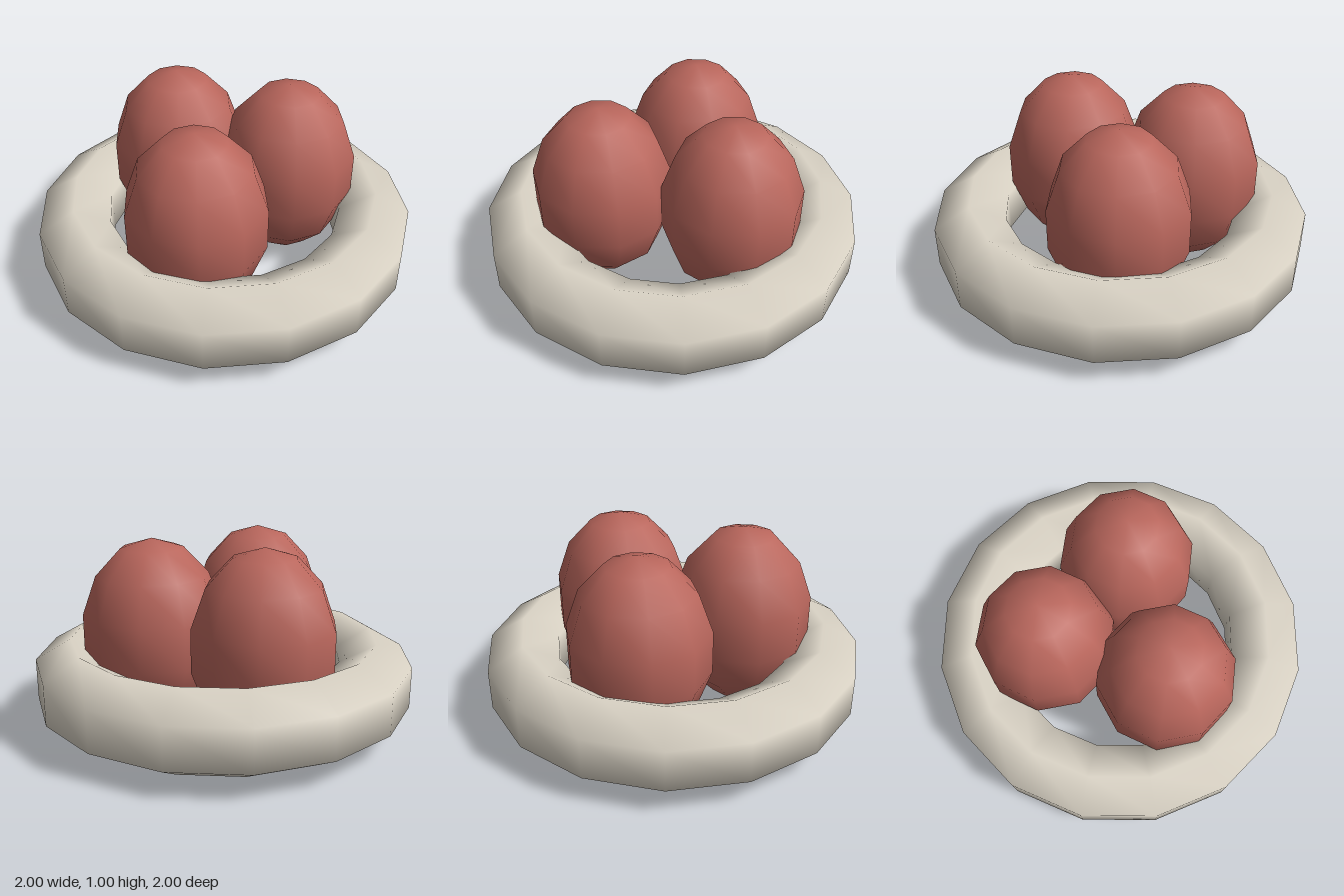
import * as THREE from 'three';

const RING_RADIUS = 0.814, TUBE = 0.215;

// Six-sided tube with points at top and bottom, swept round 16 sides, smooth shaded
function ringGeometry() {
  const profile = [];
  for (let i = 0; i <= 6; i++) {
    const a = -Math.PI / 2 + (i * Math.PI) / 3;
    profile.push(new THREE.Vector2(RING_RADIUS + TUBE * Math.cos(a), TUBE * Math.sin(a)));
  }
  const geo = new THREE.LatheGeometry(profile, 16);
  const pos = geo.attributes.position, nor = geo.attributes.normal;
  const p = new THREE.Vector3(), core = new THREE.Vector3();
  for (let i = 0; i < pos.count; i++) {
    p.fromBufferAttribute(pos, i);
    core.set(p.x, 0, p.z).setLength(RING_RADIUS);
    p.sub(core).normalize();
    nor.setXYZ(i, p.x, p.y, p.z);
  }
  return geo;
}

export function createModel() {
  const cream = new THREE.MeshStandardMaterial({ color: 0xdbd4c6 });
  cream.name = 'cream';
  const red = new THREE.MeshStandardMaterial({ color: 0xb9665c });
  red.name = 'dusty red';

  const model = new THREE.Group();
  model.name = 'nestWithEggs';

  const ring = new THREE.Mesh(ringGeometry(), cream);
  ring.name = 'nestRing';
  ring.position.y = 0.245;
  model.add(ring);

  // Three upright eggs, ten sides each, with corners pointing front and back
  const eggGeo = new THREE.SphereGeometry(0.375, 10, 7);
  eggGeo.rotateY(Math.PI / 2);
  eggGeo.scale(1, 0.4975 / 0.375, 1);
  const eggs = [
    ['backEgg', 0, -0.4],
    ['rightEgg', -0.325, 0.178],
    ['leftEgg', 0.36, 0.105],
  ];
  for (const [name, x, z] of eggs) {
    const egg = new THREE.Mesh(eggGeo, red);
    egg.name = name;
    egg.position.set(x, 0.4975, z);
    model.add(egg);
  }
  return model;
}
